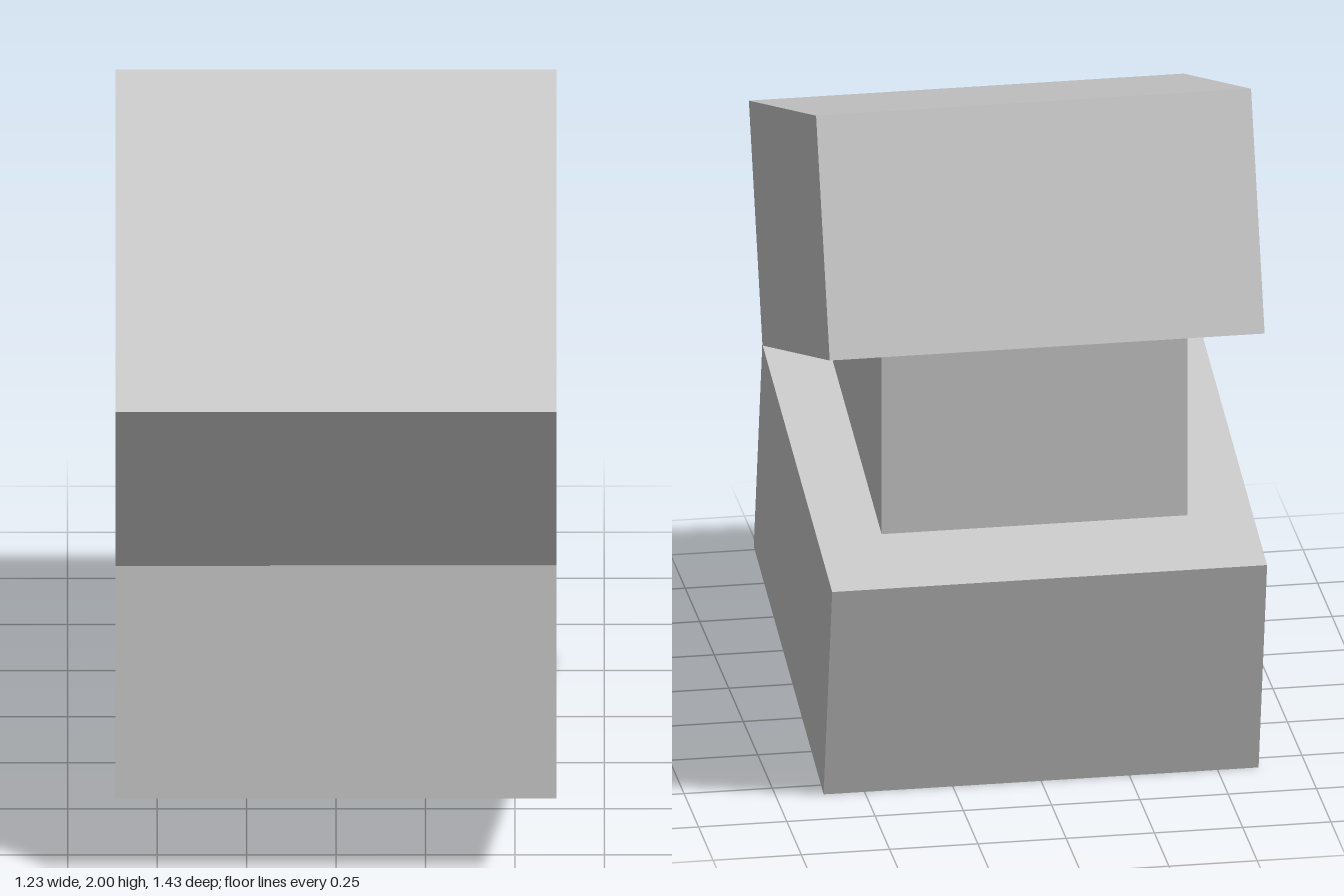
import * as THREE from 'three';

export function createModel() {
  const model = new THREE.Group();
  const grey = new THREE.MeshStandardMaterial({ color: 0xcccccc });
  grey.name = 'light grey';

  // Adds a box centred on x = 0, pitched about the x axis.
  const addBlock = (name, [w, h, d], y, z, pitchDegrees = 0) => {
    const block = new THREE.Mesh(new THREE.BoxGeometry(w, h, d), grey);
    block.name = name;
    block.position.set(0, y, z);
    block.rotation.x = THREE.MathUtils.degToRad(pitchDegrees);
    model.add(block);
  };

  // Two equal tilted blocks that meet along a front edge
  const blockSize = [1.232, 0.686, 1.232];
  addBlock('lowerBlock', blockSize, 0.4725, -0.041, -12.4);
  addBlock('upperBlock', blockSize, 1.469, 0.0225, 19.95);

  // Upright core wedged between them
  addBlock('core', [0.866, 0.866, 0.866], 0.98, -0.022);

  return model;
}
